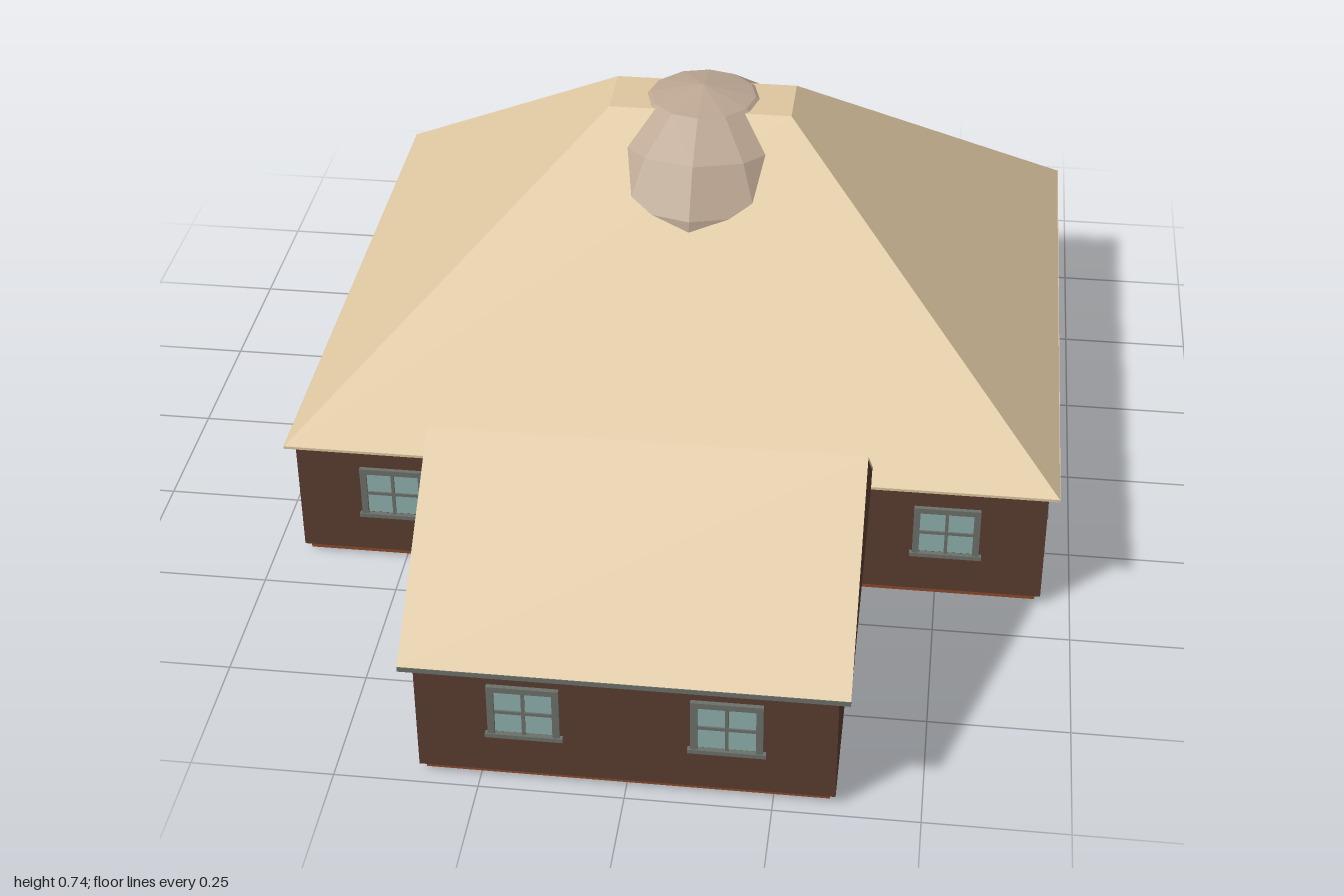
import * as THREE from 'three';

const mat = (name, color) => {
  const m = new THREE.MeshStandardMaterial({ color });
  m.name = name;
  return m;
};

export function createModel() {
  const house = new THREE.Group();
  house.name = 'house';
  const wall = mat('dark brown wall', 0x5a3c30);
  const base = mat('rust foundation', 0x8c4a2b);
  const thatch = mat('tan roof', 0xdec7a0);
  const stone = mat('taupe dome', 0xbba692);
  stone.flatShading = true;
  const trim = mat('grey trim', 0x6c706a);
  const glass = mat('pale teal glass', 0x8fb0ac);
  const doorGrey = mat('grey door', 0x9a9895);

  const add = (name, geo, material, parent = house) => {
    const mesh = new THREE.Mesh(geo, material);
    mesh.name = name;
    parent.add(mesh);
    return mesh;
  };
  // Box given by its extents on each axis
  const box = (name, x0, x1, y0, y1, z0, z1, material, parent) => {
    const geo = new THREE.BoxGeometry(x1 - x0, y1 - y0, z1 - z0);
    geo.translate((x0 + x1) / 2, (y0 + y1) / 2, (z0 + z1) / 2);
    return add(name, geo, material, parent);
  };
  // Prism along x from [z, y] points
  const prism = (name, points, halfWidth, material) => {
    const shape = new THREE.Shape(points.map(([z, y]) => new THREE.Vector2(z, y)));
    const geo = new THREE.ExtrudeGeometry(shape, { depth: halfWidth * 2, bevelEnabled: false });
    geo.rotateY(-Math.PI / 2).translate(halfWidth, 0, 0);
    return add(name, geo, material);
  };

  // Foundation and walls
  box('mainFoundation', -0.685, 0.685, 0.004, 0.02, -0.755, 0.395, base);
  box('wingFoundation', -0.345, 0.345, 0.004, 0.02, 0.39, 0.965, base);
  box('mainWalls', -0.695, 0.695, 0.018, 0.252, -0.765, 0.404, wall);
  box('wingWalls', -0.355, 0.355, 0.018, 0.252, 0.38, 0.975, wall);

  // Hipped main roof: a box whose top corners are drawn in
  const hip = new THREE.BoxGeometry(1.43, 0.46, 1.205);
  const p = hip.attributes.position;
  for (let i = 0; i < p.count; i++) {
    if (p.getY(i) > 0) {
      p.setX(i, Math.sign(p.getX(i)) * 0.175);
      p.setZ(i, Math.sign(p.getZ(i)) * 0.0625);
    }
  }
  hip.computeVertexNormals();
  hip.translate(0, 0.48, -0.1875);
  add('mainRoof', hip, thatch);
  box('mainEaves', -0.715, 0.715, 0.246, 0.251, -0.79, 0.415, thatch);

  // Faceted dome breaking through the roof top
  const dome = new THREE.SphereGeometry(0.265, 12, 8);
  dome.translate(0, 0.47, -0.1875);
  add('roofDome', dome, stone);

  // Wing gable and its roof sheets
  prism('wingGable', [[0.36, 0.247], [0.996, 0.247], [0.68, 0.506]], 0.374, wall);
  prism('wingRoof', [[0.355, 0.248], [0.362, 0.248], [0.68, 0.506], [0.994, 0.248], [1.0, 0.25], [0.68, 0.511]], 0.375, thatch);
  box('wingGutter', -0.375, 0.375, 0.242, 0.251, 0.988, 1.0, trim);

  // Four-pane windows, built facing +z and turned into place
  const addWindow = (x, z, turn) => {
    const w = new THREE.Group();
    w.name = 'window';
    box('glass', -0.055, 0.055, 0.108, 0.2, -0.002, 0.002, glass, w);
    for (const s of [-1, 1]) {
      box('frameSide', s * 0.055 - 0.006, s * 0.055 + 0.006, 0.1, 0.207, -0.002, 0.007, trim, w);
    }
    box('frameTop', -0.061, 0.061, 0.197, 0.208, -0.002, 0.008, trim, w);
    box('sill', -0.066, 0.066, 0.098, 0.106, -0.002, 0.009, trim, w);
    box('mullion', -0.003, 0.003, 0.104, 0.2, -0.002, 0.005, trim, w);
    box('crossbar', -0.052, 0.052, 0.149, 0.155, -0.002, 0.005, trim, w);
    w.position.set(x, 0, z);
    w.rotation.y = turn;
    house.add(w);
  };
  for (const s of [-1, 1]) {
    addWindow(s * 0.515, 0.404, 0);
    addWindow(s * 0.171, 0.975, 0);
    addWindow(s * 0.515, -0.765, Math.PI);
    addWindow(s * 0.171, -0.765, Math.PI);
    for (const z of [0.205, -0.18, -0.56]) addWindow(s * 0.695, z, s * Math.PI / 2);
    addWindow(s * 0.355, 0.68, s * Math.PI / 2);
  }

  // Back door
  box('doorFrame', -0.066, 0.066, 0.014, 0.21, -0.769, -0.764, trim);
  box('door', -0.057, 0.057, 0.014, 0.202, -0.772, -0.764, doorGrey);

  // Back porch: deck, flat roof, posts and railing
  box('porchFloor', -0.228, 0.228, 0, 0.013, -0.985, -0.75, wall);
  box('porchRoof', -0.245, 0.245, 0.246, 0.254, -1.0, -0.76, thatch);
  for (const x of [-0.222, 0, 0.222]) {
    box('porchPost', x - 0.006, x + 0.006, 0.01, 0.248, -0.983, -0.971, trim);
  }
  for (const s of [-1, 1]) {
    const a = Math.min(0, s * 0.222), b = Math.max(0, s * 0.222);
    box('handrail', a, b, 0.086, 0.093, -0.98, -0.974, trim);
    box('lowerRail', a, b, 0.028, 0.033, -0.979, -0.975, trim);
    for (let i = 1; i < 4; i++) {
      const x = a + i * 0.0555;
      box('baluster', x - 0.002, x + 0.002, 0.03, 0.088, -0.979, -0.975, trim);
    }
  }
  return house;
}
